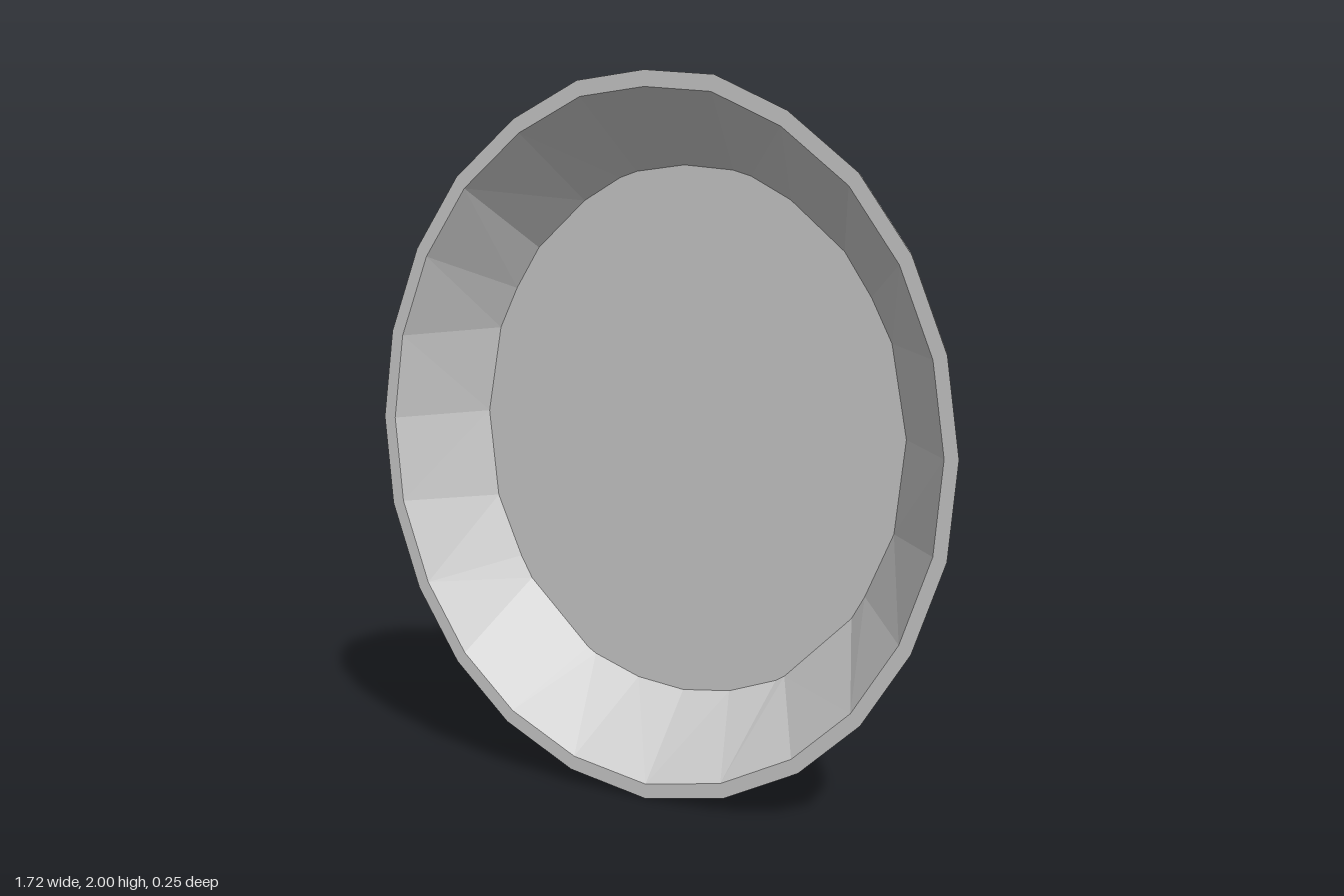
import * as THREE from 'three';

// Egg-shaped outline: [height, half width] of each level, top to bottom
const LEVELS = [[2, 0], [1.98, 0.2], [1.885, 0.4], [1.73, 0.59], [1.53, 0.73], [1.29, 0.825], [1.035, 0.862],
  [0.775, 0.84], [0.525, 0.755], [0.315, 0.625], [0.155, 0.455], [0.045, 0.24], [0, 0]];
const FRONT = 0.124, BACK = -0.124;   // rim plane and flat back plane
const DEPTH = 0.451;                  // depth of the bowl relative to its half width
const STEPS = 12;                     // facets around the half bowl
const RIM_SCALE = 0.957;              // inner rim relative to outer rim

const angleOf = (p) => Math.atan2(p.y - 1, p.x);
const byAngle = (a, b) => angleOf(a) - angleOf(b);

function facetedGeometry(points) {
  const geometry = new THREE.BufferGeometry().setFromPoints(points);
  geometry.computeVertexNormals();
  return geometry;
}

// Keeps the part of a polygon in front of the back plane; notes the cut points
function clipAtBack(polygon, cuts) {
  const kept = [];
  polygon.forEach((p, i) => {
    const q = polygon[(i + 1) % polygon.length];
    if (p.z >= BACK) kept.push(p);
    if ((p.z >= BACK) !== (q.z >= BACK)) {
      const cut = p.clone().lerp(q, (BACK - p.z) / (q.z - p.z));
      kept.push(cut);
      cuts.push(cut);
    }
  });
  return kept;
}

// Rounded outer shell, sliced flat at the back
function buildShell() {
  const cuts = [], triangles = [];
  const at = (i, j) => {
    const [y, r] = LEVELS[i], a = (j / STEPS) * Math.PI;
    return new THREE.Vector3(r * Math.cos(a), y, FRONT - DEPTH * r * Math.sin(a));
  };
  for (let i = 0; i < LEVELS.length - 1; i++) {
    for (let j = 0; j < STEPS; j++) {
      let corners = [at(i, j), at(i + 1, j), at(i + 1, j + 1), at(i, j + 1)];
      if (i === 0) corners = corners.slice(0, 3);
      if (i === LEVELS.length - 2) corners.splice(2, 1);
      const face = clipAtBack(corners, cuts);
      for (let k = 1; k < face.length - 1; k++) triangles.push(face[0], face[k], face[k + 1]);
    }
  }
  // Each cut is shared by two facets: keep one of each
  const outline = cuts.sort(byAngle).filter((p, i) => i === 0 || p.distanceTo(cuts[i - 1]) > 1e-4);
  return { geometry: facetedGeometry(triangles), outline };
}

// Joins an outer and an inner loop, both ordered by angle, with a band of triangles
function bandBetween(outer, inner) {
  const triangles = [];
  const angle = (loop, i) => angleOf(loop[i % loop.length]) + (i >= loop.length ? 2 * Math.PI : 0);
  const point = (loop, i) => loop[i % loop.length];
  let i = 0, j = 0;
  while (i < outer.length || j < inner.length) {
    const a = point(outer, i), b = point(inner, j);
    const stepOuter = j >= inner.length || (i < outer.length && angle(outer, i + 1) <= angle(inner, j + 1));
    if (stepOuter) triangles.push(a, point(outer, ++i), b);
    else triangles.push(a, point(inner, ++j), b);
  }
  return facetedGeometry(triangles);
}

export function createModel() {
  const group = new THREE.Group();
  group.name = 'ovalDish';
  const material = new THREE.MeshStandardMaterial({ color: 0xcccccc, flatShading: true, side: THREE.DoubleSide });
  const add = (name, geometry) => {
    const mesh = new THREE.Mesh(geometry, material);
    mesh.name = name;
    group.add(mesh);
    return mesh;
  };

  // Mirrored rim loops
  const rimOuter = [
    ...LEVELS.map(([y, r]) => new THREE.Vector3(r, y, FRONT)),
    ...LEVELS.slice(1, -1).map(([y, r]) => new THREE.Vector3(-r, y, FRONT)),
  ].sort(byAngle);
  const rimInner = rimOuter.map((p) => new THREE.Vector3(p.x * RIM_SCALE, 1 + (p.y - 1) * RIM_SCALE, FRONT));

  const shell = buildShell();
  add('outerShell', shell.geometry);
  add('innerWall', bandBetween(rimInner, shell.outline));

  // Flat front rim
  const rimShape = new THREE.Shape(rimOuter);
  rimShape.holes.push(new THREE.Path(rimInner));
  add('rim', new THREE.ShapeGeometry(rimShape)).position.z = FRONT;

  // Flat floor, seen from both sides
  add('floor', new THREE.ShapeGeometry(new THREE.Shape(shell.outline))).position.z = BACK;

  return group;
}
